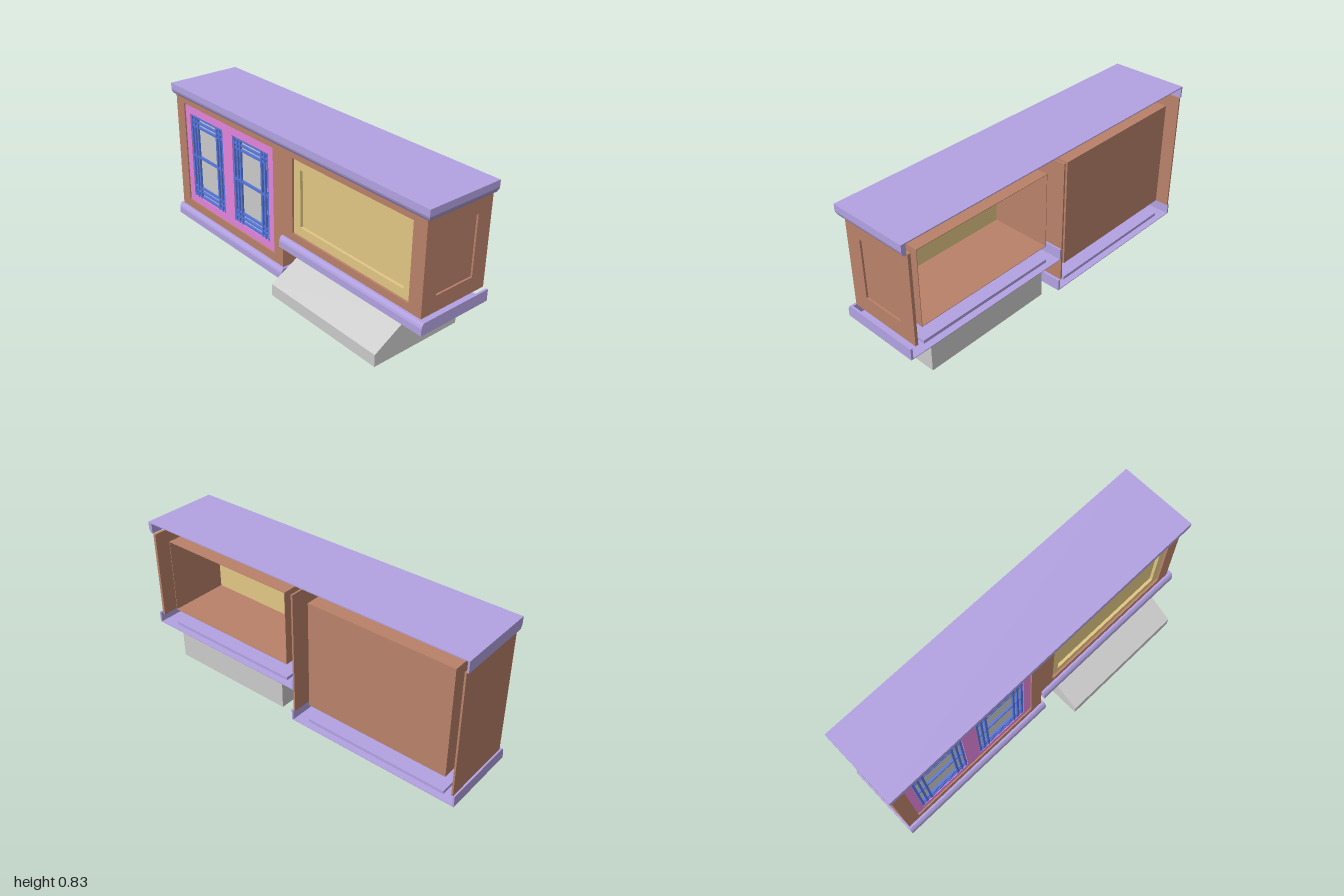
import * as THREE from 'three';

const mat = (color) => new THREE.MeshStandardMaterial({ color, side: THREE.DoubleSide });

export function createModel() {
  const model = new THREE.Group();
  const wood = mat(0xba826a), trim = mat(0xb3a3e3), pink = mat(0xe585de);
  const yellow = mat(0xe2c885), blue = mat(0x5878e0), grey = mat(0xcccccc);

  function add(name, geometry, material, parent = model) {
    const mesh = new THREE.Mesh(geometry, material);
    mesh.name = name;
    parent.add(mesh);
    return mesh;
  }
  // Box given by its two extreme corners
  function box(name, m, x0, x1, y0, y1, z0, z1, parent) {
    const g = new THREE.BoxGeometry(x1 - x0, y1 - y0, z1 - z0);
    g.translate((x0 + x1) / 2, (y0 + y1) / 2, (z0 + z1) / 2);
    return add(name, g, m, parent);
  }
  const rectPoints = ([a0, a1, b0, b1]) =>
    [[a0, b0], [a1, b0], [a1, b1], [a0, b1]].map(([a, b]) => new THREE.Vector2(a, b));
  // Flat board in xy with rectangular holes, from z0 to z1
  function boardGeometry(outer, holes, z0, z1) {
    const shape = new THREE.Shape(rectPoints(outer));
    holes.forEach((h) => shape.holes.push(new THREE.Path(rectPoints(h))));
    return new THREE.ExtrudeGeometry(shape, { depth: z1 - z0, bevelEnabled: false }).translate(0, 0, z0);
  }
  // Extrude a (z, y) profile along x
  function alongX(points, x0, x1) {
    const shape = new THREE.Shape(points.map(([z, y]) => new THREE.Vector2(-z, y)));
    return new THREE.ExtrudeGeometry(shape, { depth: x1 - x0, bevelEnabled: false })
      .rotateY(Math.PI / 2).translate(x0, 0, 0);
  }

  const BACK = -0.29, FRONT = 0.13, LIP = 0.155, TOP = 0.767;

  // Face frames around the two door openings
  const leftDoor = [-0.915, -0.09, 0.115, 0.727];
  const rightDoor = [0.065, 0.89, 0.305, 0.727];
  add('leftFaceFrame', boardGeometry([-0.99, -0.015, 0.065, TOP], [leftDoor], 0.11, FRONT), wood);
  add('rightFaceFrame', boardGeometry([-0.015, 0.97, 0.262, TOP], [rightDoor], 0.11, FRONT), wood);

  // End walls and divider
  box('leftEndWall', wood, -0.99, -0.98, 0.065, TOP, BACK, 0.11);
  box('dividerWall', wood, -0.025, -0.015, 0.065, TOP, BACK, 0.11);
  const panelFrame = boardGeometry([-0.11, 0.29, 0.262, TOP], [[-0.04, 0.2, 0.35, 0.68]], 0.958, 0.97);
  add('endPanelFrame', panelFrame.rotateY(Math.PI / 2), wood);
  box('endPanelInset', wood, 0.954, 0.96, 0.262, TOP, BACK, 0.11);

  // Inner carcasses: open tubes of four boards, the left one closed at the back
  function carcass(name, [x0, x1, y0, y1]) {
    const t = 0.003;
    add(name, boardGeometry([x0 - t, x1 + t, y0 - t, y1 + t], [[x0, x1, y0, y1]], -0.25, 0.11), wood);
  }
  carcass('leftCarcass', leftDoor);
  carcass('rightCarcass', rightDoor);
  box('leftCarcassBack', wood, -0.915, -0.09, 0.115, 0.727, -0.25, -0.245);

  // Lattice door with two windows
  const latticeDoor = new THREE.Group();
  latticeDoor.name = 'latticeDoor';
  model.add(latticeDoor);
  const windows = [[-0.87, -0.55, 0.16, 0.675], [-0.46, -0.14, 0.16, 0.675]];
  add('doorFrame', boardGeometry(leftDoor, windows, 0.095, 0.122), pink, latticeDoor);
  for (const [x0, x1, y0, y1] of windows) {
    box('windowPane', grey, x0, x1, y0, y1, 0.097, 0.1, latticeDoor);
    for (const d of [0.009, 0.038, 0.066]) {
      for (const x of [x0 + d, x1 - d])
        box('verticalBar', blue, x - 0.006, x + 0.006, y0, y1, 0.108, 0.12, latticeDoor);
      for (const y of [y0 + d, y1 - d])
        box('horizontalBar', blue, x0, x1, y - 0.006, y + 0.006, 0.106, 0.118, latticeDoor);
    }
    box('middleBar', blue, x0, x1, 0.416, 0.43, 0.106, 0.118, latticeDoor);
  }

  // Framed panel door
  const inset = [0.115, 0.845, 0.355, 0.675];
  add('panelDoorFrame', boardGeometry(rightDoor, [inset], 0.095, 0.118), yellow);
  box('panelDoorInset', yellow, 0.07, 0.885, 0.31, 0.722, 0.094, 0.102);

  // Mouldings: a thin plate with skirts on the front and both ends, open at the back
  function moulding(name, x0, x1, yPlate, yEdge, mitre) {
    const group = new THREE.Group();
    group.name = name;
    model.add(group);
    const at = (t) => yPlate + (yEdge - yPlate) * t;
    const profile = [[FRONT, at(0)], [LIP, at(0)], [LIP, at(0.58)], [0.151, at(0.78)], [0.142, at(1)], [FRONT, at(1)]];
    const front = alongX(profile, x0, x1);
    const p = front.attributes.position;
    if (mitre) {
      // Cut the end on the diagonal so the side skirt continues the same profile
      for (let i = 0; i < p.count; i++)
        if (p.getX(i) > x1 - 0.001) p.setX(i, x1 - (LIP - p.getZ(i)));
      const side = alongX(profile, BACK, LIP).rotateY(Math.PI / 2).scale(1, 1, -1);
      // Profile now faces +x and runs along z
      const q = side.attributes.position;
      for (let i = 0; i < q.count; i++) {
        const x = q.getX(i) + x1 - LIP;
        if (q.getZ(i) > 0) q.setZ(i, LIP - (x1 - x));
        q.setX(i, x);
      }
      side.computeVertexNormals();
      add('sideSkirt', side, trim, group);
    } else {
      box('sideSkirt', trim, x1 - 0.012, x1, Math.min(yPlate, yEdge), Math.max(yPlate, yEdge), BACK, FRONT, group);
    }
    front.computeVertexNormals();
    add('frontSkirt', front, trim, group);
    box('sideSkirt', trim, x0, x0 + 0.01, Math.min(yPlate, yEdge), Math.max(yPlate, yEdge), BACK, FRONT, group);
    return group;
  }
  const crown = moulding('crownMoulding', -1, 1, 0.83, TOP, true);
  box('topPlate', trim, -0.999, 0.975, 0.824, 0.83, BACK, FRONT, crown);

  // Lower mouldings have a shallow pocket pressed up into the plate
  function lowerMoulding(name, x0, x1, y, yEdge, px0, px1) {
    const group = moulding(name, x0, x1, y, yEdge, false);
    const pz0 = -0.25, pz1 = 0.09;
    const plate = boardGeometry([x0 + 0.001, x1 - 0.001, -FRONT, -BACK], [[px0, px1, -pz1, -pz0]], 0, 0.004);
    add('bottomPlate', plate.rotateX(-Math.PI / 2).translate(0, y, 0), trim, group);
    const rim = boardGeometry([px0 - 0.003, px1 + 0.003, -pz1 - 0.003, -pz0 + 0.003], [[px0, px1, -pz1, -pz0]], 0.002, 0.022);
    add('pocketRim', rim.rotateX(-Math.PI / 2).translate(0, y, 0), trim, group);
    box('pocketPlate', trim, px0, px1, y + 0.019, y + 0.022, pz0, pz1, group);
  }
  lowerMoulding('leftBaseMoulding', -1, 0, 0, 0.065, -0.915, -0.09);
  lowerMoulding('rightBaseMoulding', -0.015, 1, 0.198, 0.262, 0.065, 0.89);

  // Range hood: bent shell open below, closed by two cheeks
  const hood = new THREE.Group();
  hood.name = 'rangeHood';
  model.add(hood);
  const outer = [[-0.255, 0.01], [-0.255, 0.2], [0.095, 0.2], [0.095, 0.19], [0.29, 0.077], [0.29, 0.01]];
  const inner = [[0.275, 0.01], [0.275, 0.068], [0.085, 0.18], [-0.24, 0.18], [-0.24, 0.01]];
  add('hoodShell', alongX([...outer, ...inner], 0.11, 0.84), grey, hood);
  add('hoodCheek', alongX(outer, 0.095, 0.11), grey, hood);
  add('hoodCheek', alongX(outer, 0.84, 0.855), grey, hood);

  return model;
}
